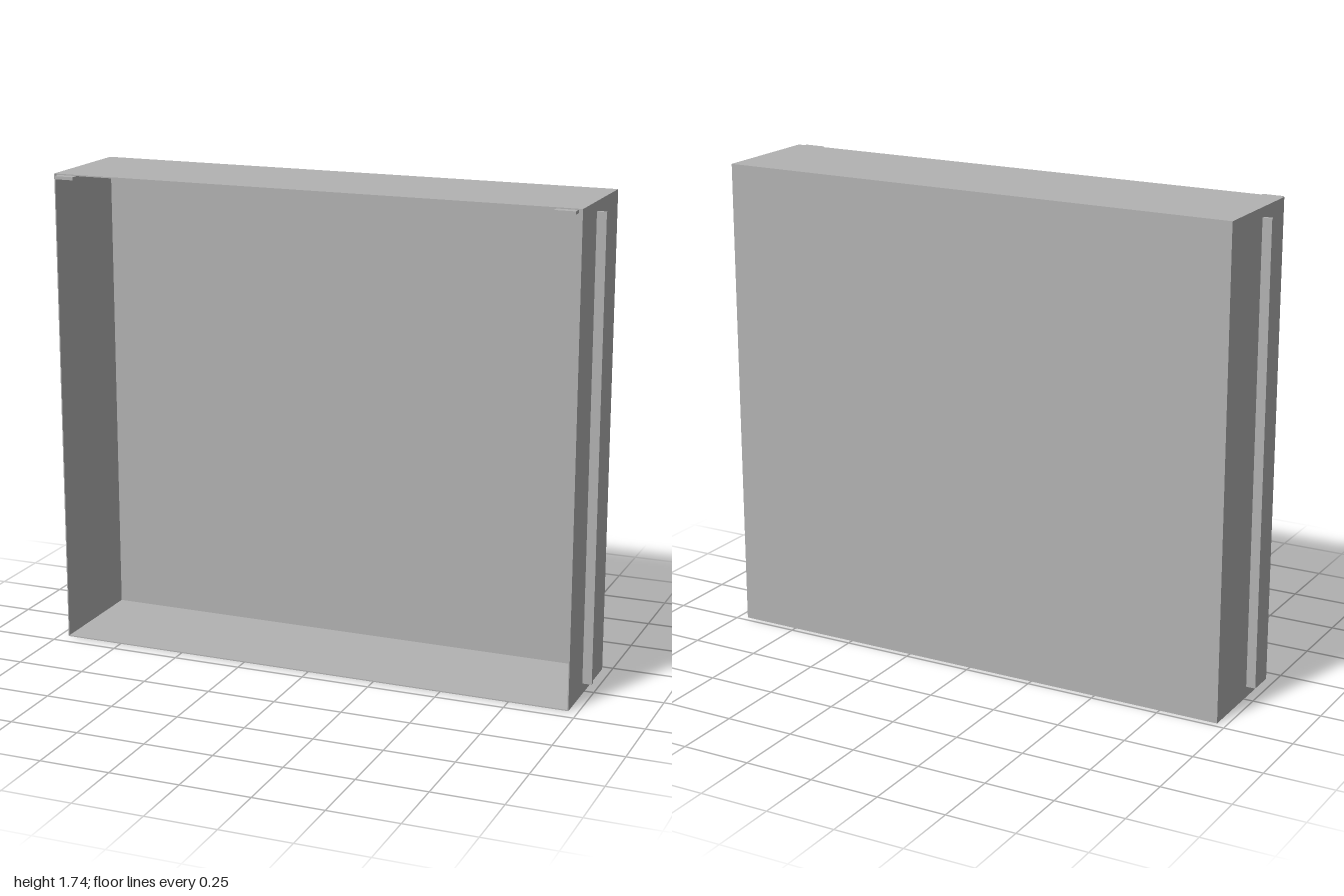
import * as THREE from 'three';

export function createModel() {
  const group = new THREE.Group();
  const grey = new THREE.MeshStandardMaterial({ color: 0xb2b2b2 });
  grey.name = 'plain grey';

  // Box spanning the given minimum and maximum corners
  function block(name, [x0, y0, z0], [x1, y1, z1]) {
    const mesh = new THREE.Mesh(new THREE.BoxGeometry(x1 - x0, y1 - y0, z1 - z0), grey);
    mesh.name = name;
    mesh.position.set((x0 + x1) / 2, (y0 + y1) / 2, (z0 + z1) / 2);
    group.add(mesh);
  }

  const W = 0.966, H = 1.735, back = -0.228, front = 0.198, t = 0.004;

  // Thin-walled tray, open at the front
  block('backPanel', [-W, 0, back], [W, H, back + t]);
  block('bottomPanel', [-W, 0, back + t], [W, t, front]);
  block('topPanel', [-W, H - t, back + t], [W, H, front]);

  for (const [side, s] of [['left', 1], ['right', -1]]) {
    const mirrored = (name, x0, x1, y0, y1, z0, z1) =>
      block(side + name, [Math.min(s * x0, s * x1), y0, z0], [Math.max(s * x0, s * x1), y1, z1]);

    mirrored('SidePanel', W - t, W, t, H - t, back + t, front);
    // Vertical guide rail outside the wall
    mirrored('GuideRail', W, 1, 0.04, 1.70, 0.017, 0.031);
    // Small tab under the top panel, sticking out of the front
    mirrored('FrontTab', 0.877, 0.951, 1.72, H - t, front - 0.004, 0.228);
  }
  return group;
}
